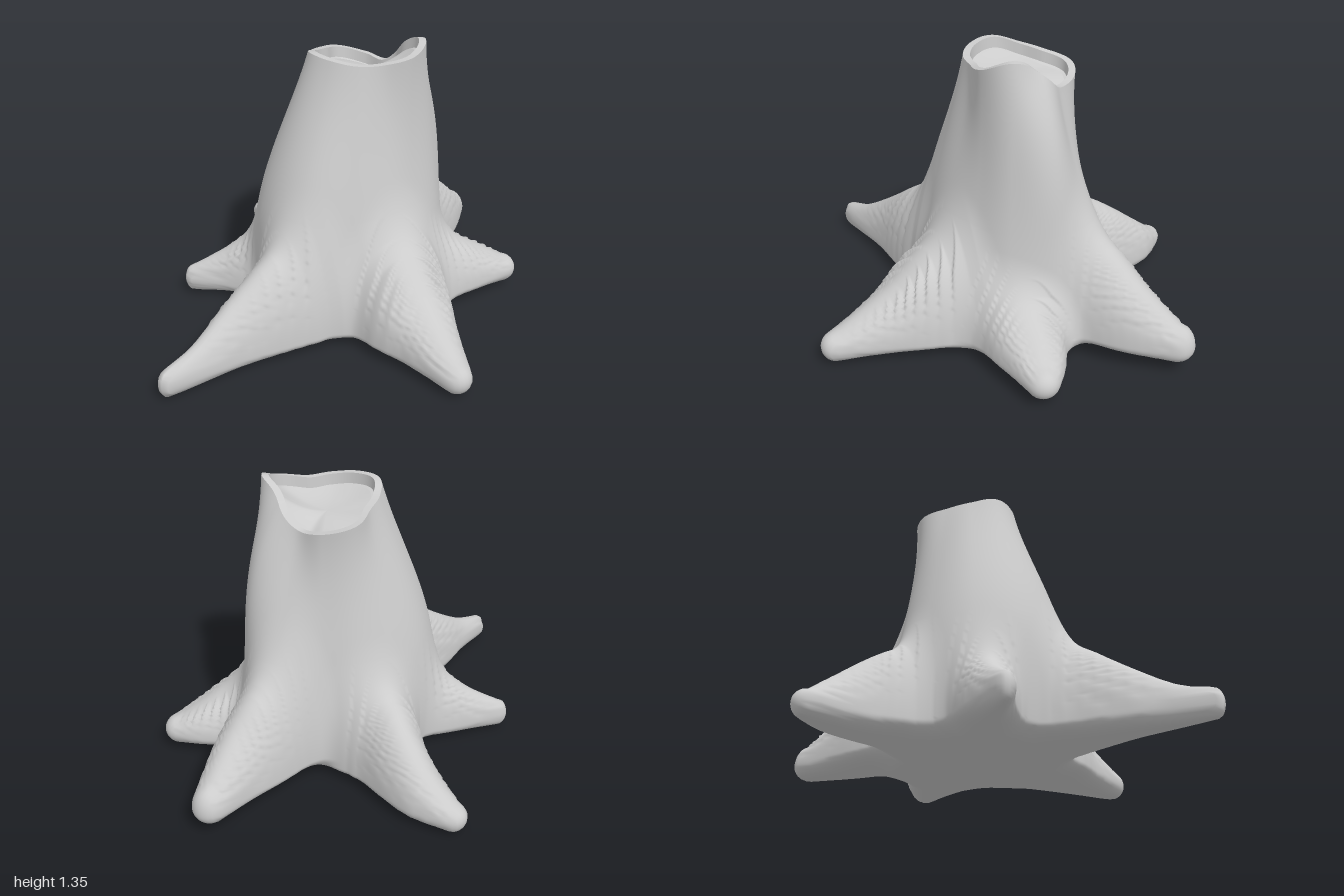
import * as THREE from 'three';

// Centre of the stump; every skin point lies on a ray from here
const C = new THREE.Vector3(0.16, 0.1, -0.02);
const COLS = 320;

// Trunk radii every 30 degrees (from +x towards +z) at four heights
const LEVELS = [1.3, 0.95, 0.6, 0.1];
const RADII = [
  [0.215, 0.29, 0.28, 0.225, 0.235, 0.25, 0.26, 0.225, 0.22, 0.28, 0.255, 0.205],
  [0.365, 0.33, 0.28, 0.265, 0.31, 0.37, 0.385, 0.35, 0.30, 0.28, 0.265, 0.28],
  [0.41, 0.37, 0.33, 0.34, 0.39, 0.49, 0.50, 0.46, 0.39, 0.34, 0.32, 0.40],
  [0.49, 0.45, 0.44, 0.43, 0.45, 0.46, 0.46, 0.44, 0.42, 0.37, 0.33, 0.43],
];
const RIM_Y = [1.28, 1.355, 1.31, 1.285, 1.29, 1.305, 1.31, 1.28, 1.26, 1.23, 1.2, 1.19];

// Roots: height of the widest line, then [x, z, half width, ridge height] from the tip inwards
const ROOTS = [
  { axis: 0.08, points: [[0.2, 0.895, 0.07, 0.15], [0.195, 0.75, 0.115, 0.225], [0.19, 0.6, 0.165, 0.32], [0.18, 0.45, 0.225, 0.45], [0.18, 0.28, 0.27, 0.57]] },
  { axis: 0.08, points: [[-0.955, 0.43, 0.042, 0.15], [-0.8, 0.38, 0.065, 0.2], [-0.6, 0.3, 0.115, 0.33], [-0.4, 0.24, 0.165, 0.47], [-0.2, 0.17, 0.23, 0.57]] },
  { axis: 0.09, points: [[-0.605, -0.345, 0.042, 0.16], [-0.45, -0.29, 0.085, 0.25], [-0.3, -0.22, 0.14, 0.38], [-0.12, -0.12, 0.2, 0.52]] },
  { axis: 0.08, points: [[-0.02, -0.9, 0.065, 0.14], [0.045, -0.75, 0.11, 0.26], [0.07, -0.59, 0.135, 0.38], [0.07, -0.45, 0.17, 0.46], [0.1, -0.25, 0.23, 0.54]] },
  { axis: 0.125, points: [[0.915, -0.435, 0.08, 0.23], [0.75, -0.32, 0.135, 0.39], [0.6, -0.24, 0.17, 0.53], [0.42, -0.14, 0.2, 0.62]] },
  { axis: 0.1, points: [[0.855, 0.2, 0.075, 0.17], [0.72, 0.165, 0.135, 0.25], [0.55, 0.14, 0.19, 0.35], [0.38, 0.1, 0.23, 0.45]] },
].map(({ axis, points }) => {
  const path = new THREE.SplineCurve(points.map(p => new THREE.Vector2(p[0], p[1])));
  const size = new THREE.SplineCurve(points.map(p => new THREE.Vector2(p[2], p[3])));
  const samples = Array.from({ length: 13 }, (_, i) => [...path.getPoint(i / 12), ...size.getPoint(i / 12)]);
  return { axis, samples };
});

// Smooth periodic lookup in a 12-entry ring
function ring(list, angle) {
  const t = ((angle / (Math.PI * 2)) % 1 + 1) % 1 * 12;
  const i = Math.floor(t), f = t - i;
  const [a, b, c, d] = [11, 0, 1, 2].map(k => list[(i + k) % 12]);
  return b + 0.5 * f * (c - a + f * (2 * a - 5 * b + 4 * c - d + f * (3 * (b - c) + d - a)));
}

// Trunk radius: a cubic through the four level radii
function radiusFrom(radii, height) {
  const y = THREE.MathUtils.clamp(height, 0.05, 1.4);
  let sum = 0;
  for (let i = 0; i < 4; i++) {
    let w = radii[i];
    for (let j = 0; j < 4; j++) if (j !== i) w *= (y - LEVELS[j]) / (LEVELS[i] - LEVELS[j]);
    sum += w;
  }
  return sum;
}
const radiiAt = angle => RADII.map(level => ring(level, angle));

function smoothMin(a, b, k) {
  const h = Math.max(k - Math.abs(a - b), 0) / k;
  return Math.min(a, b) - h * h * k * 0.25;
}

// Distance to a root: tall above its widest line, shallow below
function rootField(x, y, z, { axis, samples }) {
  let side = Infinity, width = 1, ridge = 1;
  for (let i = 0; i < samples.length - 1; i++) {
    const a = samples[i], b = samples[i + 1];
    const dx = b[0] - a[0], dz = b[1] - a[1], px = x - a[0], pz = z - a[1];
    const h = Math.min(1, Math.max(0, (px * dx + pz * dz) / (dx * dx + dz * dz)));
    const ex = px - dx * h, ez = pz - dz * h, w = a[2] + (b[2] - a[2]) * h;
    const s = Math.sqrt(ex * ex + ez * ez) / w;
    if (s < side) { side = s; width = w; ridge = a[3] + (b[3] - a[3]) * h; }
  }
  const up = (y - axis) / (y > axis ? ridge - axis : 0.07);
  return (Math.sqrt(side * side + up * up) - 1) * width;
}

// Trunk and roots melted together, flattened underneath
function field(x, y, z, radii) {
  const around = Math.sqrt((x - C.x) ** 2 + (z - C.z) ** 2) - radiusFrom(radii, y);
  let d = -smoothMin(-around, y - 0.03, 0.1);
  for (const root of ROOTS) d = smoothMin(d, rootField(x, y, z, root), 0.1);
  return -smoothMin(-d, y - 0.005, 0.02);
}

// Walk outwards along a ray to the skin, then refine
function hit(angle, elevation, radii) {
  const dx = Math.cos(elevation) * Math.cos(angle), dy = Math.sin(elevation), dz = Math.cos(elevation) * Math.sin(angle);
  const f = t => field(C.x + dx * t, C.y + dy * t, C.z + dz * t, radii);
  let lo = 0.03, hi = 0.06;
  while (f(hi) < 0 && hi < 1.6) { lo = hi; hi += 0.03; }
  for (let i = 0; i < 12; i++) {
    const mid = (lo + hi) / 2;
    if (f(mid) < 0) lo = mid; else hi = mid;
  }
  return [C.x + dx * lo, C.y + dy * lo, C.z + dz * lo];
}

// Closed strip of rows, each a loop around the trunk
function loft(rows, point) {
  const pos = [], idx = [];
  for (let i = 0; i < rows; i++) {
    for (let j = 0; j < COLS; j++) {
      pos.push(...point(i, j / COLS * Math.PI * 2));
      if (i === rows - 1) continue;
      const a = i * COLS + j, b = i * COLS + (j + 1) % COLS;
      idx.push(a, b, a + COLS, b, b + COLS, a + COLS);
    }
  }
  const g = new THREE.BufferGeometry();
  g.setAttribute('position', new THREE.Float32BufferAttribute(pos, 3));
  g.setIndex(idx);
  g.computeVertexNormals();
  return g;
}

// Rows: down the trunk by height, then over the roots and under the base by angle
const UP = 24, SIDE = 96, UNDER = 24;
function skinPoint(i, angle) {
  const radii = radiiAt(angle), dip = -0.18;
  const aim = y => Math.atan2(y - C.y, radiusFrom(radii, y));
  let e;
  if (i <= UP) e = aim(THREE.MathUtils.lerp(ring(RIM_Y, angle), 0.6, i / UP));
  else if (i <= UP + SIDE) e = THREE.MathUtils.lerp(aim(0.6), dip, (i - UP) / SIDE);
  else e = THREE.MathUtils.lerp(dip, -Math.PI / 2, ((i - UP - SIDE) / UNDER) ** 2);
  return hit(angle, e, radii);
}

// Point set in from the rim by an inset and a drop
function rimPoint(angle, inset, drop) {
  const y = ring(RIM_Y, angle), r = radiusFrom(radiiAt(angle), y) - inset;
  return [C.x + r * Math.cos(angle), y - drop, C.z + r * Math.sin(angle)];
}

export function createModel() {
  const group = new THREE.Group();
  const material = new THREE.MeshStandardMaterial({ color: 0xcccccc });
  const add = (name, geometry) => {
    const mesh = new THREE.Mesh(geometry, material);
    mesh.name = name;
    group.add(mesh);
  };

  add('trunkAndRoots', loft(UP + SIDE + UNDER + 1, skinPoint));

  // Cut top: stepped rings from the rim down to the sunken floor
  const steps = [[0, 0], [0.032, 0], [0.036, 0.05], [0.05, 0.055]];
  const names = ['rim', 'hollowWall', 'hollowLedge'];
  names.forEach((name, k) => add(name, loft(2, (i, a) => rimPoint(a, ...steps[k + 1 - i]))));

  // Gently warped floor
  add('hollowFloor', loft(8, (i, a) => {
    const p = rimPoint(a, ...steps[3]), t = i / 7, mid = [C.x, 1.2, C.z];
    return p.map((v, k) => THREE.MathUtils.lerp(mid[k], v, k === 1 ? t * t : t));
  }));
  return group;
}
